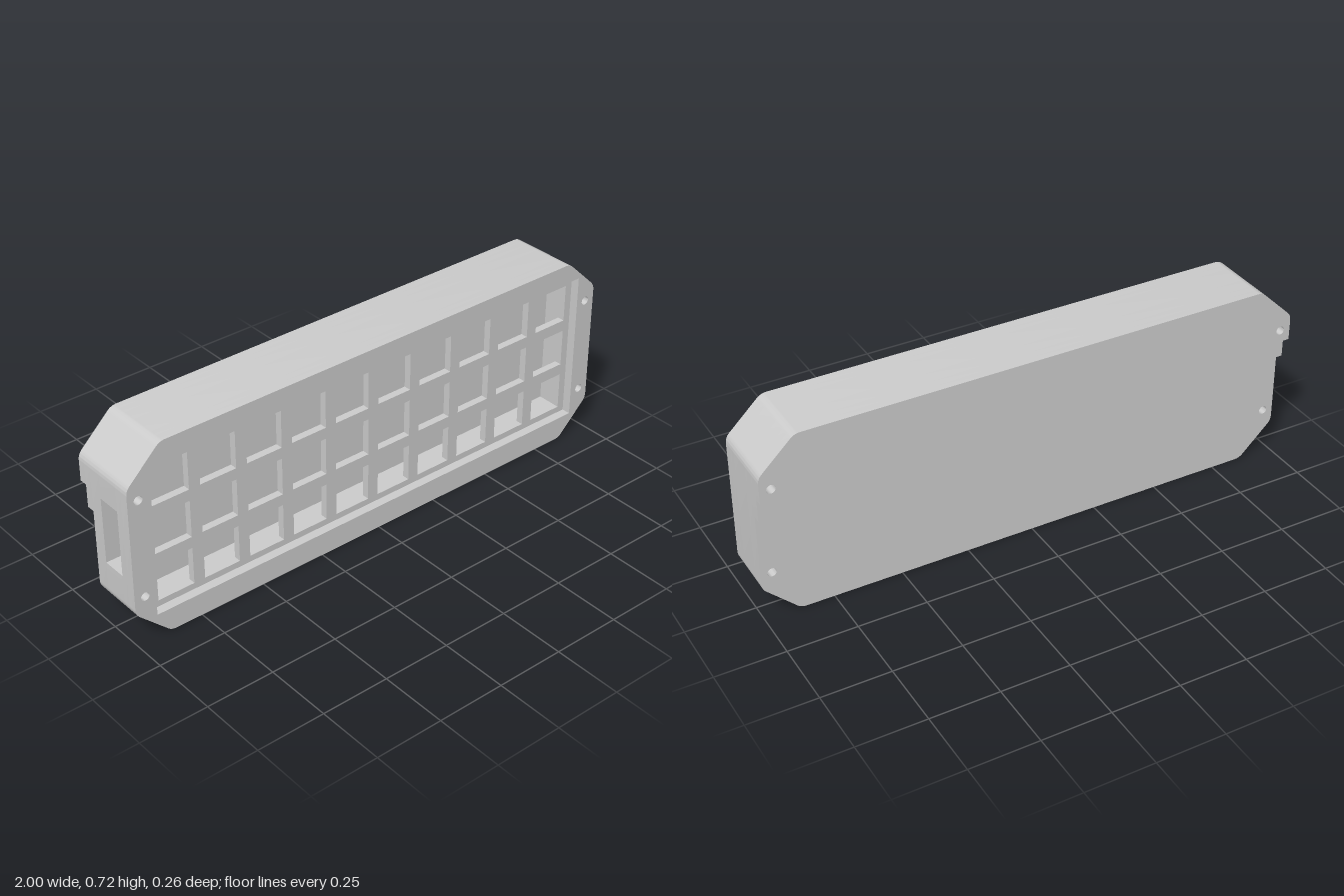
import * as THREE from 'three';
import { toCreasedNormals } from 'three/addons/utils/BufferGeometryUtils.js';

const H = 0.722;                       // overall height
const CUT_X = 0.87, CUT_LOW = 0.125, CUT_HIGH = 0.597; // corner cuts
const POCKET = { x: 0.92, y0: 0.087, y1: 0.65 };
const PORT = { y0: 0.245, y1: 0.49 };
const SCREWS = { x: 0.96, y: [0.18, 0.546], r: 0.016 };

// Draws a polygon whose corners are eased by a small curve when r > 0
function polygon(target, points) {
  const n = points.length;
  points.forEach(([x, y, r = 0], i) => {
    const p = new THREE.Vector2(x, y);
    const toward = ([qx, qy]) => new THREE.Vector2(qx, qy).sub(p).setLength(r).add(p);
    const a = r ? toward(points[(i + n - 1) % n]) : p;
    if (i === 0) target.moveTo(a.x, a.y);
    else target.lineTo(a.x, a.y);
    if (r) {
      const b = toward(points[(i + 1) % n]);
      target.quadraticCurveTo(x, y, b.x, b.y);
    }
  });
  target.closePath();
  return target;
}

const rect = (x0, x1, y0, y1) =>
  polygon(new THREE.Path(), [[x0, y0], [x0, y1], [x1, y1], [x1, y0]]);

// Cut-corner case outline; yMin trims the lower part, port opens the right wall
function outline({ yMin = 0, port = false } = {}) {
  const e = 0.02;
  const low = yMin > CUT_LOW;
  const pts = low
    ? [[-1, yMin], [1, yMin]]
    : [[-1, CUT_LOW, e], [-CUT_X, 0, e], [CUT_X, 0, e], [1, CUT_LOW, e]];
  pts.push([1, CUT_HIGH, e], [CUT_X, H, e], [-CUT_X, H, e], [-1, CUT_HIGH, e]);
  if (port) {
    const { x, y0, y1 } = POCKET;
    pts.push([-1, PORT.y1], [-x, PORT.y1], [-x, y1], [x, y1], [x, y0],
      [-x, y0], [-x, PORT.y0], [-1, PORT.y0]);
  }
  const shape = polygon(new THREE.Shape(), pts);
  for (const sx of [-1, 1]) {
    for (const y of SCREWS.y) {
      if (y < yMin) continue;
      const hole = new THREE.Path();
      hole.absarc(sx * SCREWS.x, y, SCREWS.r, 0, Math.PI * 2, true);
      shape.holes.push(hole);
    }
  }
  return shape;
}

export function createModel() {
  const group = new THREE.Group();
  const material = new THREE.MeshStandardMaterial({ color: 0xcccccc });

  // Each layer of the case is a slab between two depths
  function layer(name, shape, z0, z1) {
    const geo = new THREE.ExtrudeGeometry(shape, {
      depth: z1 - z0, bevelEnabled: false, curveSegments: 10,
    });
    geo.translate(0, 0, z0);
    const mesh = new THREE.Mesh(toCreasedNormals(geo, 0.6), material);
    mesh.name = name;
    group.add(mesh);
  }

  // Raised rim around the key area
  const rim = outline();
  rim.holes.push(rect(-POCKET.x, POCKET.x, POCKET.y0, POCKET.y1));
  layer('frontRim', rim, 0.097, 0.13);

  // Plate with a 10 by 3 grid of square key openings
  const plate = outline();
  const pitch = 0.1826, half = 0.07;
  for (let row = 0; row < 3; row++) {
    for (let col = 0; col < 10; col++) {
      const x = (col - 4.5) * pitch;
      const y = 0.363 + (row - 1) * pitch;
      plate.holes.push(rect(x - half, x + half, y - half, y + half));
    }
  }
  layer('keyPlate', plate, 0.07, 0.097);

  // Hollow middle with the cable port through one end wall
  layer('caseWalls', outline({ port: true }), -0.02, 0.07);

  // Solid back and the two steps that thicken its upper part
  layer('backPanel', outline(), -0.07, -0.02);
  layer('lowerBackStep', outline({ yMin: 0.416 }), -0.1, -0.07);
  layer('upperBackStep', outline({ yMin: 0.5 }), -0.13, -0.1);

  return group;
}
